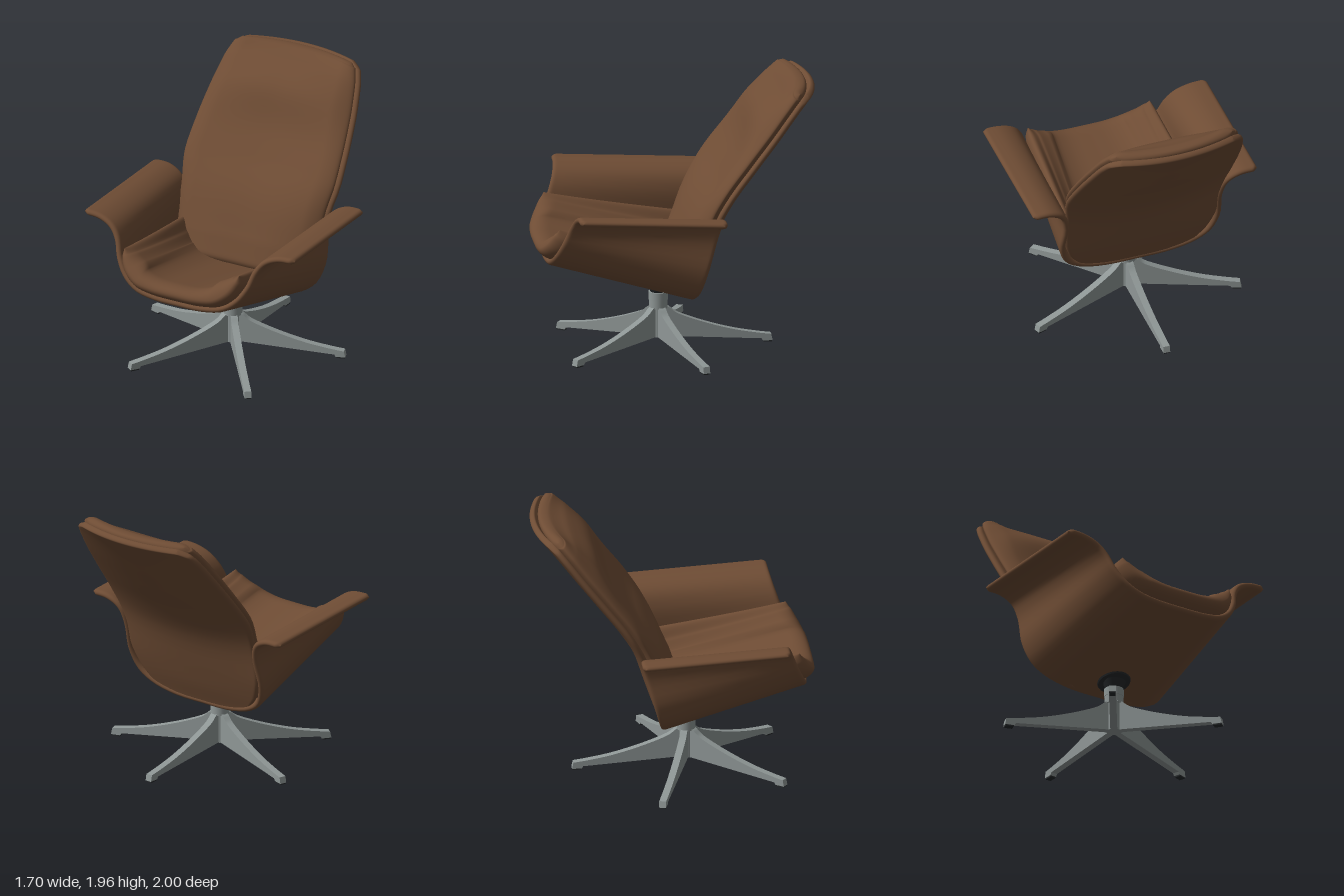
import * as THREE from 'three';
import { mergeVertices } from 'three/addons/utils/BufferGeometryUtils.js';

const { lerp, clamp, smoothstep } = THREE.MathUtils;
const V = (x, y, z) => new THREE.Vector3(x, y, z);

// Upholstered slab around a surface P(u, v): lifted by shift along the normal,
// front and back thickness fall to zero on a rounded rim.
function pad(P, { shift, front, back, edgeU, edgeV, nu = 56, nv = 48 }) {
  const round = (t, e) => Math.sqrt(Math.max(0, 1 - (1 - Math.min(1, Math.min(t, 1 - t) / e)) ** 2));
  const space = (i, n) => (1 - Math.cos(Math.PI * i / n)) / 2;
  const pos = [], idx = [], row = nu + 1, side = row * (nv + 1);
  for (const s of [1, -1]) {
    for (let j = 0; j <= nv; j++) for (let i = 0; i <= nu; i++) {
      const u = space(i, nu), v = space(j, nv), e = 0.004;
      const uc = clamp(u, e, 1 - e), vc = clamp(v, e, 1 - e);
      const du = P(uc + e, vc).sub(P(uc - e, vc)), dv = P(uc, vc + e).sub(P(uc, vc - e));
      const n = du.cross(dv).normalize();
      const h = (s > 0 ? front(u, v) : -back) * (i % nu && j % nv ? round(u, edgeU) * round(v, edgeV) : 0);
      const p = P(u, v).addScaledVector(n, shift + h);
      pos.push(p.x, p.y, p.z);
    }
    const o = s > 0 ? 0 : side;
    for (let j = 0; j < nv; j++) for (let i = 0; i < nu; i++) {
      const a = o + j * row + i, b = a + 1, c = b + row, d = a + row;
      if (s > 0) idx.push(a, b, c, a, c, d); else idx.push(a, c, b, a, d, c);
    }
  }
  let g = new THREE.BufferGeometry();
  g.setAttribute('position', new THREE.Float32BufferAttribute(pos, 3));
  g.setIndex(idx);
  g = mergeVertices(g, 1e-5);
  g.computeVertexNormals();
  return g;
}

// Half-sections of the seat shell (x, y), centre to arm tip
const FRONT = [[0, .70], [.2, .705], [.35, .735], [.46, .81], [.535, .92], [.575, 1.03], [.63, 1.10], [.72, 1.14], [.848, 1.15]];
const REAR = [[0, .405], [.24, .41], [.43, .455], [.55, .54], [.61, .70], [.603, .92], [.635, 1.035], [.72, 1.085], [.848, 1.09]];
const section = (half, zOf) => new THREE.CatmullRomCurve3(
  [...half.slice(1).reverse().map(([x, y]) => V(-x, y, zOf(y))), ...half.map(([x, y]) => V(x, y, zOf(y)))]);
const frontCurve = section(FRONT, y => .77 + (1.17 - y) * .4);
const rearCurve = section(REAR, y => -.285 + (1.11 - y) * .28);
const seatPoint = (u, v) => frontCurve.getPoint(clamp(u, 0, 1)).lerp(rearCurve.getPoint(clamp(u, 0, 1)), v);

// Backrest stations, bottom to top: half width, height, depth, forward wrap of the sides
const BACK = [
  [.25, .41, -.08, 0], [.41, .46, -.10, .01], [.52, .58, -.15, .02], [.58, .75, -.21, .03],
  [.597, 1.0, -.30, .055], [.632, 1.2, -.43, .085], [.618, 1.4, -.585, .09], [.59, 1.6, -.74, .09],
  [.55, 1.78, -.88, .095], [.51, 1.87, -.955, .1], [.43, 1.92, -1.0, .09],
];
const backLine = new THREE.CatmullRomCurve3(BACK.map(([, y, z]) => V(0, y, z)));
const backSize = new THREE.CatmullRomCurve3(BACK.map(([w, , , d]) => V(w, d, 0)));
const backPoint = (u, v) => {
  const s = 2 * u - 1, size = backSize.getPoint(v), p = backLine.getPoint(v), d = size.y * s * s;
  return V(size.x * s, p.y + d * .5 * (1 - v ** 4), p.z + d * .87);
};

export function createModel() {
  const material = (name, color) => Object.assign(new THREE.MeshStandardMaterial({ color }), { name });
  const leather = material('brown leather', 0x6e4c34);
  const metal = material('grey metal', 0x8f9796);
  const black = material('black plastic', 0x25282a);

  const model = new THREE.Group();
  model.name = 'loungeChair';
  const add = (name, geometry, mat, parent = model) => {
    const mesh = new THREE.Mesh(geometry, mat);
    mesh.name = name;
    parent.add(mesh);
    return mesh;
  };

  // Seat shell with flared arms, arm corners rounded off
  add('seatShellWithArms', pad((u, v) => {
    const corner = smoothstep(Math.abs(2 * u - 1), .95, 1) ** 2;
    return seatPoint(u, .5 + (v - .5) * (1 - .04 * corner));
  }, { shift: .022, front: () => .022, back: .022, edgeU: .014, edgeV: .025, nu: 80 }), leather);

  // Seat cushion lying in the shell, with a bowed front and plump sides
  add('seatCushion', pad((u, v) => {
    const s = 2 * u - 1;
    return seatPoint(.5 + s * .287, lerp(-.075 + .035 * s ** 4, .96, v));
  }, {
    shift: .1, back: .06, edgeU: .16, edgeV: .1,
    front: (u, v) => .065 + .02 * v + .045 * Math.sin(Math.PI * Math.abs(2 * u - 1) ** 1.3) ** 2 * (1 - .5 * v),
  }), leather);

  // Backrest shell
  add('backShell', pad(backPoint,
    { shift: .022, front: () => .024, back: .022, edgeU: .025, edgeV: .02 }), leather);

  // Back cushion with a headrest swell and a deep lower end tucked behind the seat
  const cushionV = v => lerp(.15, .955, v);
  add('backCushion', pad((u, v) => backPoint(.5 + (u - .5) * .985, cushionV(v)), {
    shift: .075, back: .035, edgeU: .1, edgeV: .08, nv: 64,
    front: (u, v) => {
      const i = cushionV(v) * 10, s = Math.abs(2 * u - 1);
      const centre = .1 + .07 * Math.exp(-(((i - 7.1) / .8) ** 2)) + .031 * clamp(5 - i, 0, 2) - .045 * Math.max(0, i - 8);
      return lerp(centre, .05, s ** lerp(3.5, 2, v));
    },
  }), leather);

  // Swivel base
  const base = new THREE.Group();
  base.name = 'swivelBase';
  base.position.z = .115;
  model.add(base);
  const post = (name, rTop, rBottom, y0, y1, mat) => {
    const mesh = add(name, new THREE.CylinderGeometry(rTop, rBottom, y1 - y0, 32), mat, base);
    mesh.position.y = (y0 + y1) / 2;
    return mesh;
  };
  post('hub', .055, .055, .07, .3, metal);
  post('collar', .07, .07, .34, .4, metal);
  post('lowerCollar', .067, .067, .28, .342, metal);
  post('swivelCone', .085, .055, .395, .46, black);
  post('mountingPlate', .125, .115, .45, .472, black).rotation.x = -.27;

  // Star legs: curved blade ending in a small foot
  const blade = new THREE.Shape();
  blade.moveTo(.02, .07);
  blade.lineTo(.07, .07);
  blade.lineTo(.735, .027);
  blade.lineTo(.745, .01);
  blade.lineTo(.815, .01);
  blade.lineTo(.805, .057);
  blade.splineThru([[.7, .072], [.55, .1], [.4, .14], [.25, .19], [.13, .24], [.07, .285], [.02, .305]]
    .map(([x, y]) => new THREE.Vector2(x, y)));
  const legGeometry = new THREE.ExtrudeGeometry(blade, { depth: .05, bevelEnabled: false, curveSegments: 24 });
  legGeometry.translate(0, 0, -.025);
  for (let k = 0; k < 5; k++) {
    const leg = new THREE.Group();
    leg.name = 'leg' + (k + 1);
    leg.rotation.y = Math.PI / 2 + k * Math.PI * 2 / 5;
    base.add(leg);
    add('legBlade', legGeometry, metal, leg);
    add('footPad', new THREE.BoxGeometry(.06, .012, .044), black, leg).position.set(.78, .006, 0);
  }
  return model;
}
